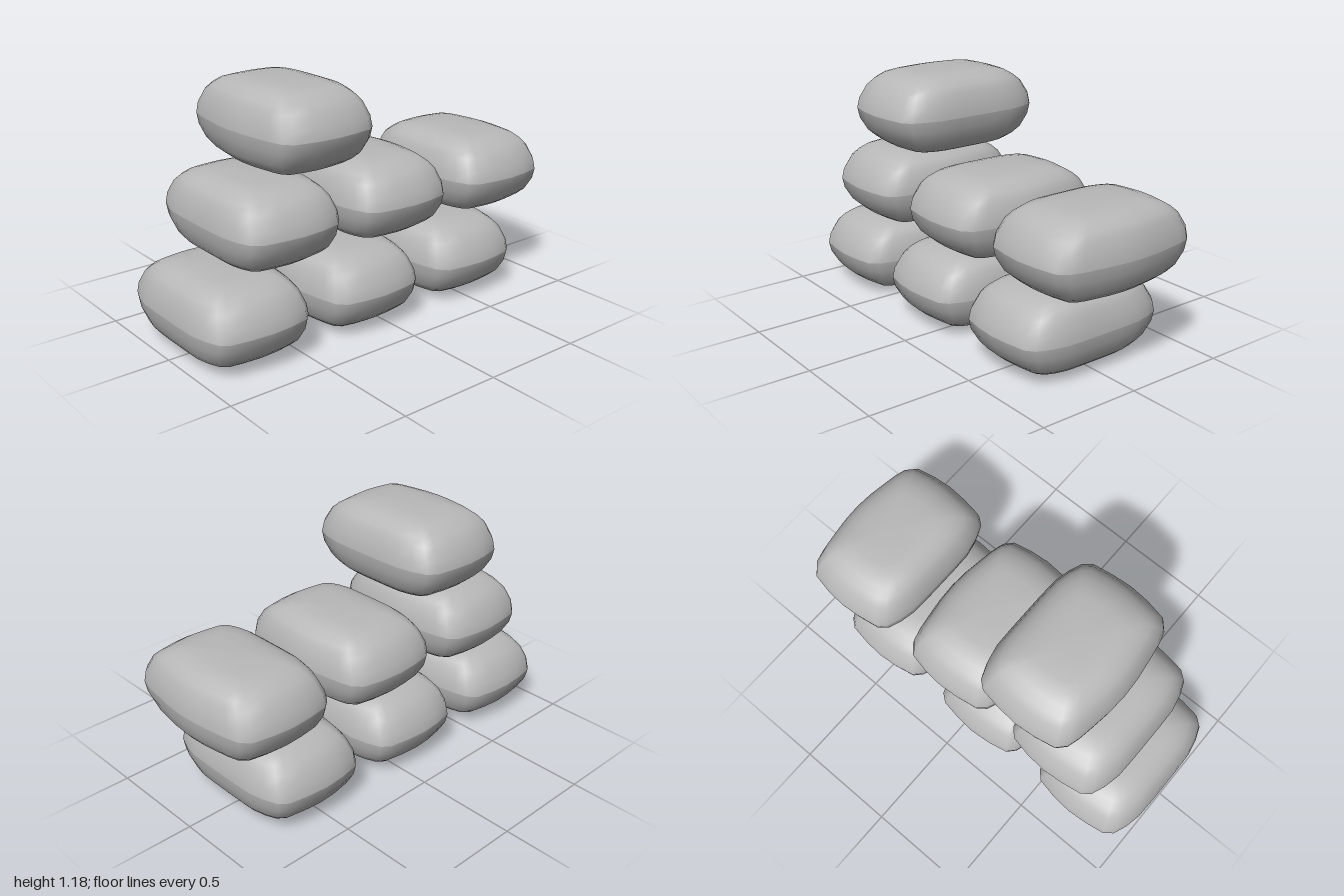
import * as THREE from 'three';

// Plan outline quarters, from the side (x = 1) round to the end (z = 1)
const flatSide = [[1, 0], [1, 0.25], [0.99, 0.5], [0.93, 0.7], [0.84, 0.86], [0.7, 0.94], [0.35, 0.98], [0, 1]];
const bulgedSide = [[1, 0], [0.98, 0.25], [0.93, 0.5], [0.89, 0.68], [0.83, 0.83], [0.7, 0.93], [0.35, 0.98], [0, 1]];

// Half profile from the seam to the crown: half width, half depth, height
const profile = [
  [0.283, 0.403, 0], [0.277, 0.392, 0.05], [0.255, 0.355, 0.112], [0.232, 0.32, 0.142],
  [0.2, 0.278, 0.168], [0.16, 0.23, 0.182], [0.12, 0.185, 0.19], [0.06, 0.09, 0.194], [0, 0, 0.195],
];

function planOutline() {
  const mirror = (q, sx, sz) => q.map(([x, z]) => [x * sx, z * sz]);
  return [
    ...mirror(flatSide, 1, 1).slice(0, -1),
    ...mirror(bulgedSide, -1, 1).reverse().slice(0, -1),
    ...mirror(bulgedSide, -1, -1).slice(0, -1),
    ...mirror(flatSide, 1, -1).reverse().slice(0, -1),
  ];
}

function bagGeometry() {
  const outline = planOutline();
  const n = outline.length;
  const levels = [...profile.map(([w, d, y]) => [w, d, -y]).reverse(), ...profile];
  const positions = [];
  const index = [];
  for (const [w, d, y] of levels) {
    for (const [x, z] of outline) positions.push(x * w, y, z * d);
  }
  for (let i = 0; i < levels.length - 1; i++) {
    // The two halves meet at the seam with a crease
    if (i === profile.length - 1) continue;
    for (let j = 0; j < n; j++) {
      const a = i * n + j;
      const b = i * n + (j + 1) % n;
      const c = a + n;
      const d = b + n;
      if (i > 0) index.push(a, c, b);
      if (i < levels.length - 2) index.push(b, c, d);
      else index.push(a, c, b);
    }
  }
  // Close the bottom crown, where the lower ring is a point
  for (let j = 0; j < n; j++) index.push((j + 1) % n, n + j, n + (j + 1) % n);
  const geometry = new THREE.BufferGeometry();
  geometry.setAttribute('position', new THREE.Float32BufferAttribute(positions, 3));
  geometry.setIndex(index);
  geometry.computeVertexNormals();
  // Both crowns are level at their tips
  const normal = geometry.attributes.normal;
  for (let j = 0; j < n; j++) {
    normal.setXYZ(j, 0, -1, 0);
    normal.setXYZ((levels.length - 1) * n + j, 0, 1, 0);
  }
  return geometry;
}

export function createModel() {
  const group = new THREE.Group();
  group.name = 'sandbagStack';
  const cloth = new THREE.MeshStandardMaterial({ color: 0xb8b8b8 });
  cloth.name = 'greyCloth';
  const geometry = bagGeometry();

  // Courses from the ground up: x of each bag, and whether it is turned round
  const courses = [
    { name: 'bottomBag', y: 0.2, bags: [[-0.715, true], [-0.093, false], [0.53, false]] },
    { name: 'middleBag', y: 0.598, bags: [[-0.542, true], [0.083, true], [0.713, true]] },
    { name: 'topBag', y: 0.995, bags: [[-0.37, false]] },
  ];
  for (const { name, y, bags } of courses) {
    bags.forEach(([x, turned], i) => {
      const bag = new THREE.Mesh(geometry, cloth);
      bag.name = name + (i + 1);
      bag.position.set(x, y, 0);
      if (turned) bag.rotation.y = Math.PI;
      group.add(bag);
    });
  }
  return group;
}
